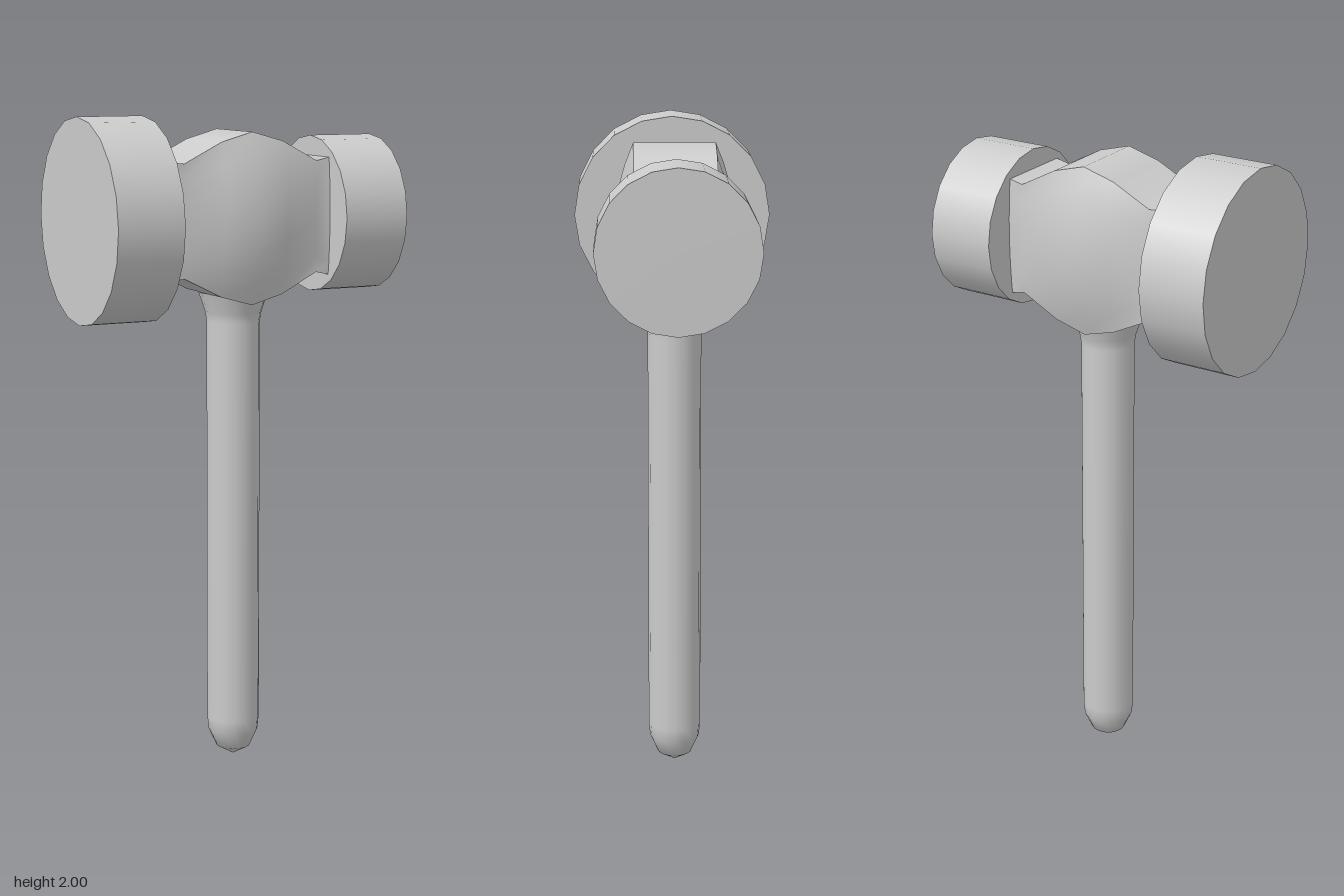
import * as THREE from 'three';

const material = new THREE.MeshStandardMaterial({ color: 0xcccccc });
const HEAD_Y = 1.697;

// Head stations along x: [x, half height, half depth at the middle]
const stations = [
  [-0.285, 0.178, 0.128], [-0.2, 0.168, 0.125], [-0.08, 0.228, 0.165], [0.02, 0.256, 0.18],
  [0.12, 0.228, 0.165], [0.235, 0.167, 0.123], [0.285, 0.178, 0.133],
];
const EDGE = 0.122; // half depth along the top and bottom edges

function mesh(name, geometry, parent) {
  const m = new THREE.Mesh(geometry, material);
  m.name = name;
  parent.add(m);
  return m;
}

// One long face of the head: a plane grid moved onto the swelling section
function headFace(place) {
  const g = new THREE.PlaneGeometry(1, 1, stations.length - 1, 8);
  const p = g.attributes.position;
  for (let i = 0; i < p.count; i++) {
    const s = stations[Math.round((p.getX(i) + 0.5) * (stations.length - 1))];
    p.setXYZ(i, ...place(s, p.getY(i) * 2));
  }
  g.computeVertexNormals();
  return g;
}

function strikingFace(name, x, radius, length, parent) {
  const g = new THREE.CylinderGeometry(radius, radius, length, 20).rotateZ(Math.PI / 2);
  mesh(name, g, parent).position.set(x, HEAD_Y, 0);
}

export function createModel() {
  const model = new THREE.Group();
  model.name = 'mallet';

  // Swollen middle: bulging sides, flat-across top and bottom
  const head = new THREE.Group();
  head.name = 'headBody';
  head.position.y = HEAD_Y;
  model.add(head);
  const side = ([x, hy, hz], v) => [x, v * hy, EDGE + (hz - EDGE) * (1 - v * v)];
  const top = ([x, hy], v) => [x, hy, -v * EDGE];
  mesh('headFront', headFace(side), head);
  mesh('headBack', headFace(side).rotateX(Math.PI), head);
  mesh('headTop', headFace(top), head);
  mesh('headBottom', headFace(top).rotateX(Math.PI), head);

  // Large and small round striking faces
  strikingFace('largeFace', -0.382, 0.304, 0.206, model);
  strikingFace('smallFace', 0.38, 0.237, 0.206, model);

  // Handle with a blunt tip and a flared collar under the head
  const profile = [
    [0, 0.005], [0.053, 0.035], [0.077, 0.088], [0.081, 0.13],
    [0.081, 1.38], [0.086, 1.41], [0.106, 1.47],
  ].map(([r, y]) => new THREE.Vector2(r, y));
  mesh('handle', new THREE.LatheGeometry(profile, 16), model).position.x = 0.017;

  return model;
}
